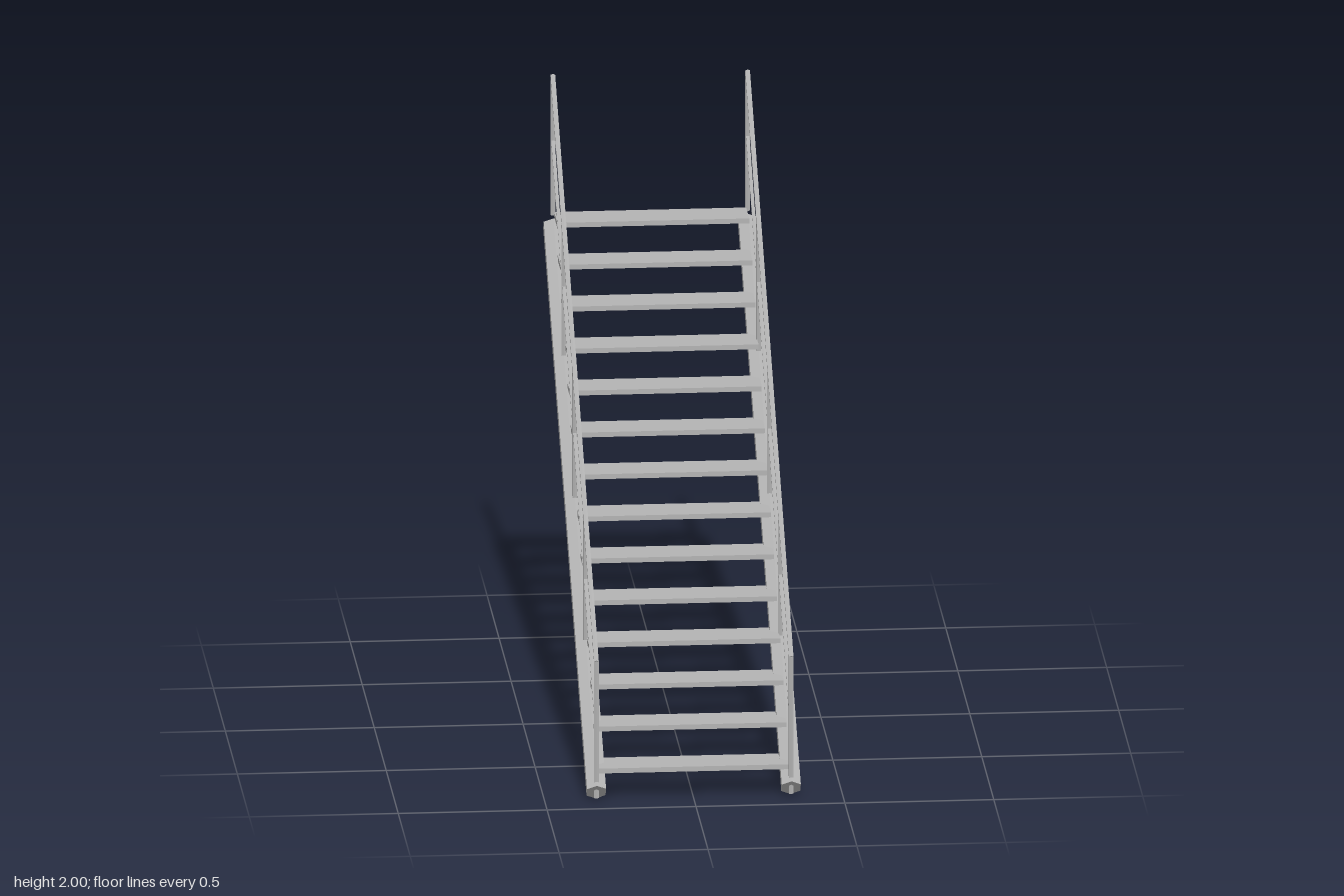
import * as THREE from 'three';

const metal = new THREE.MeshStandardMaterial({ color: 0xb4b4b4, flatShading: true });
metal.name = 'grey metal';

// Six-sided bar in the plane x, from [z, y] to [z, y], flats facing sideways
function bar(name, x, [z0, y0], [z1, y1], radius) {
  const dz = z1 - z0, dy = y1 - y0;
  const mesh = new THREE.Mesh(
    new THREE.CylinderGeometry(radius, radius, Math.hypot(dz, dy), 6), metal);
  mesh.name = name;
  mesh.position.set(x, (y0 + y1) / 2, (z0 + z1) / 2);
  mesh.rotation.x = Math.atan2(dz, dy);
  return mesh;
}

export function createModel() {
  const model = new THREE.Group();
  model.name = 'staircase';

  // Treads
  const treads = new THREE.Group();
  treads.name = 'treads';
  const count = 14, rise = 0.108, run = 0.1292, depth = 0.128, thick = 0.017;
  const treadGeometry = new THREE.BoxGeometry(0.645, thick, depth);
  for (let i = 0; i < count; i++) {
    const tread = new THREE.Mesh(treadGeometry, metal);
    tread.name = 'tread';
    tread.position.set(0, 0.11 + i * rise - thick / 2, 0.9 - i * run - depth / 2);
    treads.add(tread);
  }
  model.add(treads);

  // Stringer and railing on each side
  for (const side of [1, -1]) {
    const x = side * 0.327;
    const label = side > 0 ? 'left' : 'right';
    model.add(bar(label + 'Stringer', x, [0.903, 0.029], [-0.903, 1.471], 0.037));

    const railing = new THREE.Group();
    railing.name = label + 'Railing';
    railing.add(bar('handrail', x, [0.908, 0.485], [-0.908, 1.991], 0.009));
    railing.add(bar('midRail', x, [0.905, 0.265], [-0.905, 1.767], 0.0065));

    // Posts: the lowest reaches the ground, the highest ends at the top tread
    for (let i = 0; i < 5; i++) {
      const z = 0.905 - i * 0.4525;
      const top = 0.488 + i * 0.3755;
      const bottom = [0.01, 0.4, 0.76, 1.12, 1.505][i];
      railing.add(bar('post', x, [z, bottom], [z, top], 0.009));
    }
    model.add(railing);
  }
  return model;
}
